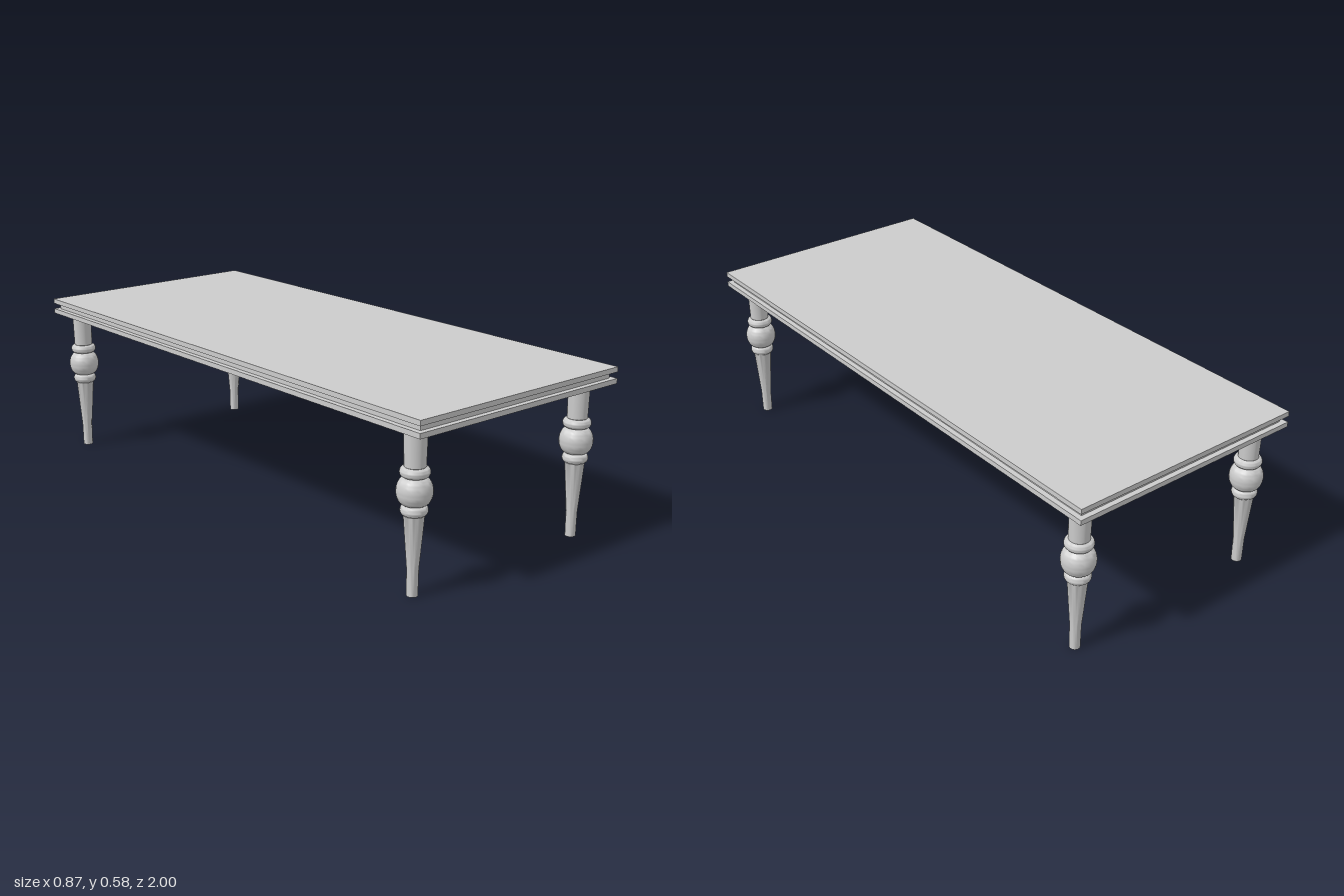
import * as THREE from 'three';
import { toCreasedNormals } from 'three/addons/utils/BufferGeometryUtils.js';

const material = new THREE.MeshStandardMaterial({ color: 0xcccccc });

function addMesh(parent, name, geometry, x = 0, y = 0, z = 0) {
  const mesh = new THREE.Mesh(geometry, material);
  mesh.name = name;
  mesh.position.set(x, y, z);
  parent.add(mesh);
  return mesh;
}

// Rectangular ring lying flat, from y0 to y1
function frameGeometry(halfX, halfZ, innerX, innerZ, y0, y1) {
  const rect = (shape, a, b) =>
    shape.moveTo(-a, -b).lineTo(a, -b).lineTo(a, b).lineTo(-a, b).closePath();
  const shape = rect(new THREE.Shape(), halfX, halfZ);
  shape.holes.push(rect(new THREE.Path(), innerX, innerZ));
  const geometry = new THREE.ExtrudeGeometry(shape, { depth: y1 - y0, bevelEnabled: false });
  return geometry.rotateX(-Math.PI / 2).translate(0, y0, 0);
}

// Bulging section of a turned leg, between two heights
function bulge(y0, y1, neckRadius, radius, steps) {
  const points = [];
  for (let i = 0; i <= steps; i++) {
    const a = -Math.PI / 2 + (Math.PI * i) / steps;
    points.push(new THREE.Vector2(
      neckRadius + (radius - neckRadius) * Math.cos(a),
      (y0 + y1) / 2 + ((y1 - y0) / 2) * Math.sin(a)));
  }
  return points;
}

function legGeometry() {
  const v = (r, y) => new THREE.Vector2(r, y);
  const profile = [
    v(0, 0), v(0.0175, 0), v(0.0185, 0.085), v(0.021, 0.115), v(0.032, 0.255), // tapered foot
    ...bulge(0.256, 0.286, 0.03, 0.042, 10), // lower ring
    ...bulge(0.287, 0.372, 0.028, 0.055, 18), // ball
    ...bulge(0.373, 0.404, 0.032, 0.046, 10), // upper ring
    v(0.033, 0.405), v(0.0365, 0.561), // neck, up to the underside of the top
  ];
  return toCreasedNormals(new THREE.LatheGeometry(profile, 32), 0.7);
}

export function createModel() {
  const table = new THREE.Group();
  table.name = 'table';

  // Top board over two stacked frames, the middle one set back as a groove
  addMesh(table, 'topBoard', new THREE.BoxGeometry(0.866, 0.017, 2), 0, 0.5695, 0);
  addMesh(table, 'grooveFrame', frameGeometry(0.415, 0.982, 0.37, 0.938, 0.54, 0.561));
  addMesh(table, 'lowerFrame', frameGeometry(0.433, 1, 0.37, 0.938, 0.523, 0.54));

  // Thin crossing battens under the board
  addMesh(table, 'longBatten', new THREE.BoxGeometry(0.008, 0.004, 1.876), 0, 0.559, 0);
  addMesh(table, 'crossBatten', new THREE.BoxGeometry(0.74, 0.004, 0.008), 0, 0.559, 0);

  // Four turned legs
  const leg = legGeometry();
  for (const [side, x] of [['Left', 0.36], ['Right', -0.36]]) {
    addMesh(table, 'front' + side + 'Leg', leg, x, 0, 0.91);
    addMesh(table, 'back' + side + 'Leg', leg, x, 0, -0.92);
  }
  return table;
}
